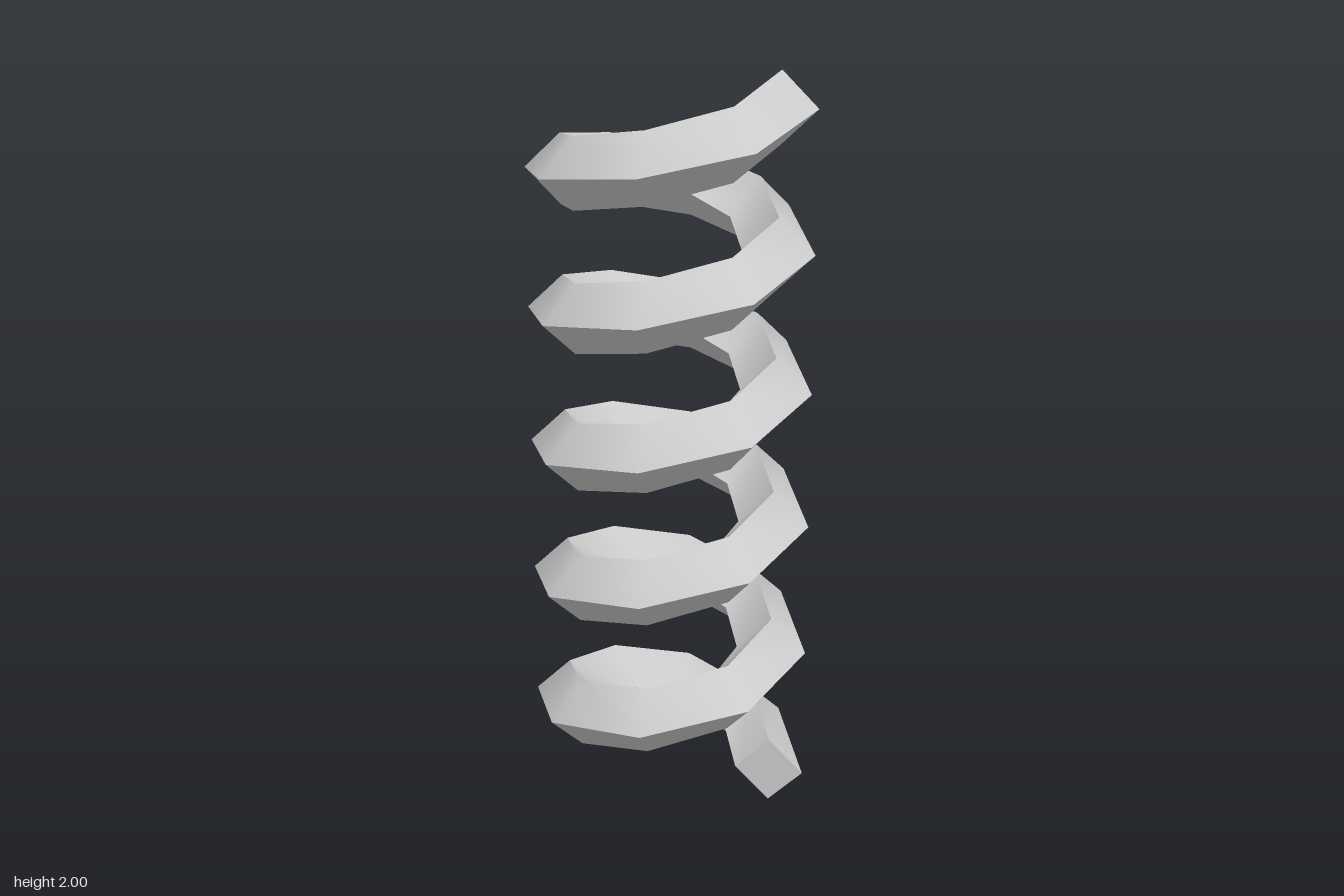
import * as THREE from 'three';
import { toCreasedNormals } from 'three/addons/utils/BufferGeometryUtils.js';

const TURNS = 5, SEGMENTS = 8, SIDES = 4;
const WIRE = 1 / 11;      // half diagonal of the square wire
const RADIUS = 3 / 11;    // coil radius to the wire's centre
const PITCH = 4 / 11;     // rise per turn

// Sweeps the diamond cross-section along a faceted helix
function coilGeometry() {
  const rings = TURNS * SEGMENTS;
  const positions = [], index = [];

  for (let i = 0; i <= rings; i++) {
    const turn = (i / SEGMENTS) * Math.PI * 2;
    for (let k = 0; k < SIDES; k++) {
      const phi = (k / SIDES) * Math.PI * 2;
      const r = RADIUS + WIRE * Math.cos(phi);
      const y = WIRE + (PITCH * i) / SEGMENTS + WIRE * Math.sin(phi);
      positions.push(r * Math.cos(turn), y, -r * Math.sin(turn));
    }
  }

  // Side faces between neighbouring rings
  for (let i = 0; i < rings; i++) {
    for (let k = 0; k < SIDES; k++) {
      const a = i * SIDES + k, b = i * SIDES + ((k + 1) % SIDES);
      const c = a + SIDES, d = b + SIDES;
      index.push(a, c, b, b, c, d);
    }
  }

  // End caps
  const e = rings * SIDES;
  index.push(0, 1, 2, 0, 2, 3);
  index.push(e, e + 2, e + 1, e, e + 3, e + 2);

  const geometry = new THREE.BufferGeometry();
  geometry.setAttribute('position', new THREE.Float32BufferAttribute(positions, 3));
  geometry.setIndex(index);
  // Smooth along the wire, sharp across its four edges
  return toCreasedNormals(geometry, Math.PI / 3.2);
}

export function createModel() {
  const group = new THREE.Group();
  group.name = 'spring';
  const coil = new THREE.Mesh(coilGeometry(), new THREE.MeshStandardMaterial({ color: 0xcccccc }));
  coil.name = 'coil';
  group.add(coil);
  return group;
}
